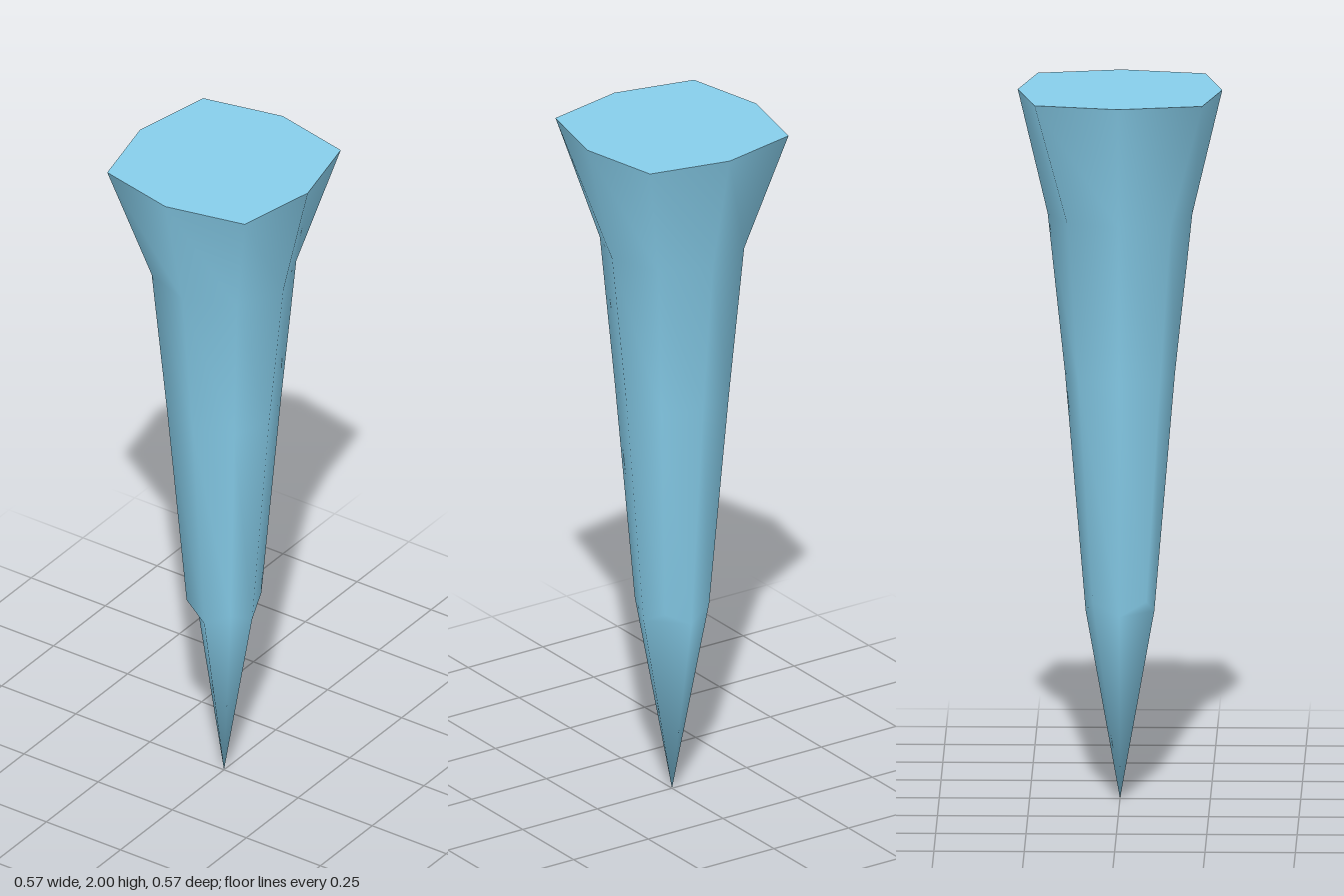
import * as THREE from 'three';

const SIDES = 8;

// Rings from top to bottom: radius and height on the axes, then on the diagonals
const RINGS = [
  { axis: [0.283, 2], diagonal: [0.328, 2] },
  { axis: [0.2, 1.65], diagonal: [0.203, 1.65] },
  { axis: [0.152, 1.2], diagonal: [0.16, 1.2] },
  { axis: [0.095, 0.53], diagonal: [0.105, 0.57] },
];

// Corner 0 faces +z, and corners run towards +x
function corner(ring, j) {
  const [radius, y] = j % 2 ? ring.diagonal : ring.axis;
  const angle = (j / SIDES) * Math.PI * 2;
  return [radius * Math.sin(angle), y, radius * Math.cos(angle)];
}

function buildGeometry(points, index) {
  const geometry = new THREE.BufferGeometry();
  geometry.setAttribute('position', new THREE.Float32BufferAttribute(points.flat(), 3));
  geometry.setIndex(index);
  geometry.computeVertexNormals();
  return geometry;
}

function ringPoints(ring) {
  return Array.from({ length: SIDES }, (_, j) => corner(ring, j));
}

// Flared shaft and pointed tip, smooth all round
function shaftGeometry() {
  const points = RINGS.flatMap(ringPoints);
  const tip = points.push([0, 0, 0]) - 1;
  const index = [];
  const at = (i, j) => i * SIDES + ((j + SIDES) % SIDES);

  for (let i = 0; i < RINGS.length - 1; i++) {
    for (let j = 0; j < SIDES; j++) {
      const a = at(i, j), b = at(i, j + 1), c = at(i + 1, j), d = at(i + 1, j + 1);
      index.push(a, c, d, a, d, b);
    }
  }

  // Two opposite corners stop short in a small ledge; the others run to the tip
  const last = RINGS.length - 1;
  for (let j = 0; j < SIDES; j++) {
    const ledge = j % 4 === 3;
    if (ledge) {
      index.push(at(last, j), at(last, j - 1), at(last, j + 1));
      index.push(at(last, j - 1), tip, at(last, j + 1));
    } else if (j % 4 !== 2) {
      index.push(at(last, j), tip, at(last, j + 1));
    }
  }
  return buildGeometry(points, index);
}

// Flat top
function capGeometry() {
  const points = ringPoints(RINGS[0]);
  const index = [];
  for (let j = 1; j < SIDES - 1; j++) index.push(0, j, j + 1);
  return buildGeometry(points, index);
}

export function createModel() {
  const material = new THREE.MeshStandardMaterial({ color: 0x87ceeb });
  const group = new THREE.Group();
  group.name = 'spike';

  const shaft = new THREE.Mesh(shaftGeometry(), material);
  shaft.name = 'shaft';
  const cap = new THREE.Mesh(capGeometry(), material);
  cap.name = 'topCap';

  group.add(shaft, cap);
  return group;
}
